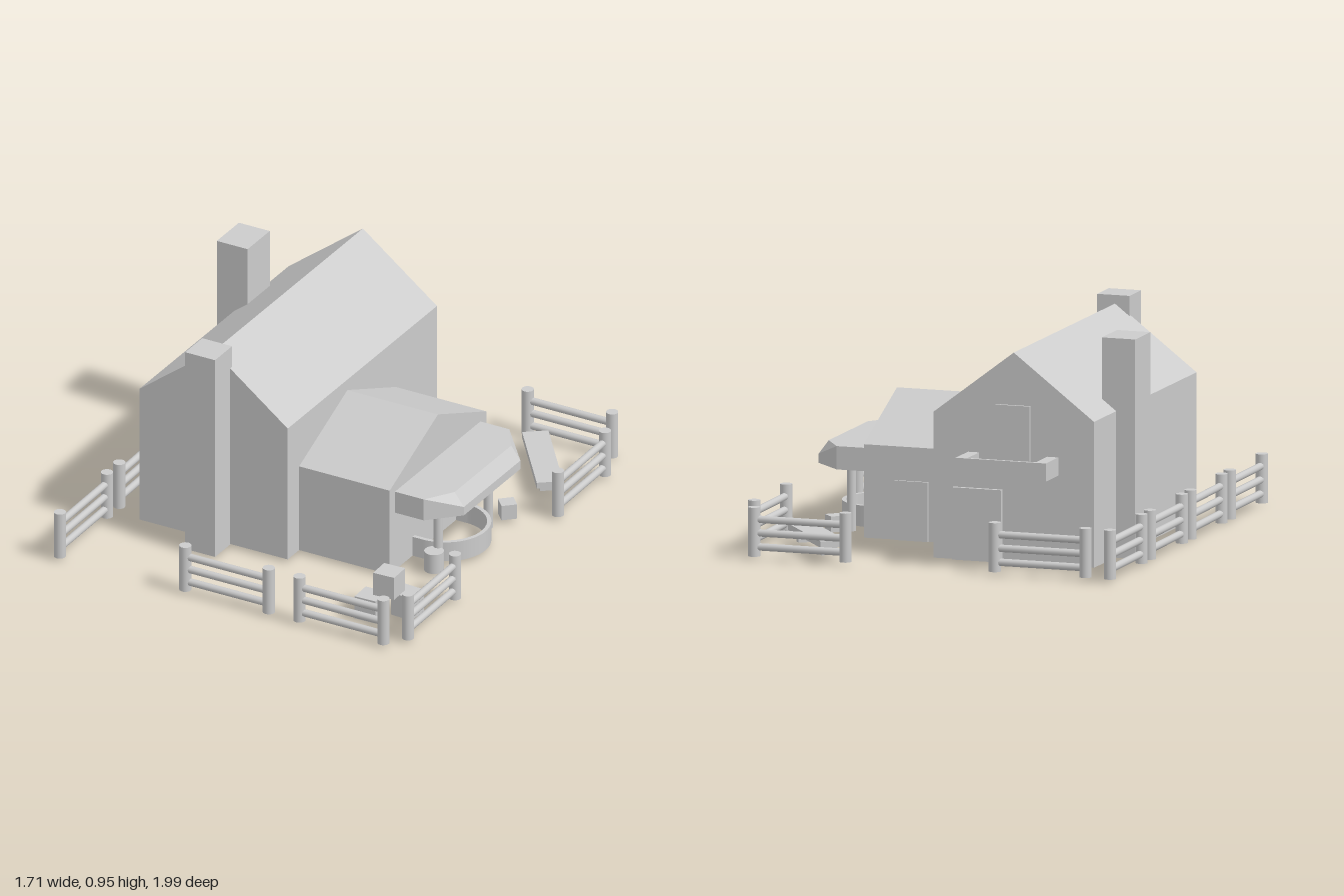
import * as THREE from 'three';
import { ConvexGeometry } from 'three/addons/geometries/ConvexGeometry.js';

const BASE = 0.015;
const flat = new THREE.MeshStandardMaterial({ color: 0xcccccc, flatShading: true });
const smooth = new THREE.MeshStandardMaterial({ color: 0xcccccc });
const twoSided = new THREE.MeshStandardMaterial({ color: 0xcccccc, side: THREE.DoubleSide });

function add(parent, name, geometry, material = flat) {
  const mesh = new THREE.Mesh(geometry, material);
  mesh.name = name;
  parent.add(mesh);
  return mesh;
}

// Box given by its minimum and maximum on each axis
function box(parent, name, x0, x1, y0, y1, z0, z1) {
  const mesh = add(parent, name, new THREE.BoxGeometry(x1 - x0, y1 - y0, z1 - z0));
  mesh.position.set((x0 + x1) / 2, (y0 + y1) / 2, (z0 + z1) / 2);
  return mesh;
}

function cylinder(parent, name, radius, height, x, y, z) {
  const mesh = add(parent, name, new THREE.CylinderGeometry(radius, radius, height, 20), smooth);
  mesh.position.set(x, y + height / 2, z);
  return mesh;
}

// Gabled block running along z, with its gable centred on x = 0
function gabled(parent, name, width, eaves, ridge, length) {
  const w = width / 2;
  const outline = [[-w, BASE], [w, BASE], [w, eaves], [0, ridge], [-w, eaves]];
  const shape = new THREE.Shape(outline.map(([x, y]) => new THREE.Vector2(x, y)));
  return add(parent, name, new THREE.ExtrudeGeometry(shape, { depth: length, bevelEnabled: false }));
}

// Two posts joined by three round rails
function fence(parent, x0, z0, x1, z1) {
  const panel = new THREE.Group();
  panel.name = 'fencePanel';
  parent.add(panel);
  cylinder(panel, 'fencePost', 0.026, 0.21, x0, BASE, z0);
  cylinder(panel, 'fencePost', 0.026, 0.21, x1, BASE, z1);
  const length = Math.hypot(x1 - x0, z1 - z0);
  for (const y of [0.055, 0.115, 0.173]) {
    const rail = add(panel, 'fenceRail', new THREE.CylinderGeometry(0.016, 0.016, length, 12), smooth);
    rail.position.set((x0 + x1) / 2, y, (z0 + z1) / 2);
    rail.quaternion.setFromUnitVectors(
      new THREE.Vector3(0, 1, 0),
      new THREE.Vector3(x1 - x0, 0, z1 - z0).normalize());
  }
}

export function createModel() {
  const model = new THREE.Group();
  model.name = 'farmhouse';

  // Main house and side wing
  gabled(model, 'mainHouse', 0.72, 0.64, 0.915, 1.267).position.set(-0.32, 0, -0.75);
  const wing = gabled(model, 'sideWing', 0.82, 0.415, 0.59, 0.45);
  wing.rotation.y = Math.PI / 2;
  wing.position.set(0.03, 0, 0.01);

  // Chimneys
  box(model, 'frontChimney', -0.385, -0.24, 0.012, 0.952, 0.50, 0.645);
  box(model, 'sideChimney', -0.765, -0.615, 0.012, 0.952, -0.475, -0.287);

  // Doors on the back walls
  box(model, 'groundDoor', -0.27, -0.05, BASE, 0.325, -0.768, -0.74);
  box(model, 'balconyDoor', -0.395, -0.24, 0.42, 0.69, -0.762, -0.74);
  box(model, 'wingDoor', 0.19, 0.34, BASE, 0.27, -0.41, -0.39);

  // Balcony: floor with a parapet on three sides
  const balcony = new THREE.Group();
  balcony.name = 'balcony';
  model.add(balcony);
  box(balcony, 'balconyFloor', -0.52, -0.115, 0.40, 0.42, -0.905, -0.75);
  box(balcony, 'balconyParapet', -0.52, -0.115, 0.42, 0.478, -0.905, -0.89);
  box(balcony, 'balconyParapet', -0.52, -0.47, 0.42, 0.478, -0.89, -0.75);
  box(balcony, 'balconyParapet', -0.165, -0.115, 0.42, 0.478, -0.89, -0.75);

  // Porch canopy with clipped corners and a sloping front
  const corners = [];
  for (const side of [-1, 1]) {
    const rim = [[0.47, 0.29, 0.363], [0.47, 0.39, 0.363], [0.62, 0.29, 0.363], [0.62, 0.39, 0.363],
      [0.745, 0.29, 0.24], [0.745, 0.33, 0.24], [0.70, 0.39, 0.24]];
    for (const [x, y, z] of rim) corners.push(new THREE.Vector3(x, y, 0.013 + side * z));
  }
  add(model, 'porchCanopy', new ConvexGeometry(corners));
  for (const z of [0.245, -0.18]) cylinder(model, 'porchPost', 0.02, 0.3, 0.615, 0, z);

  // Low round wall under the porch
  const wall = [[0.175, BASE], [0.193, BASE], [0.193, BASE], [0.193, 0.105], [0.193, 0.105],
    [0.175, 0.105], [0.175, 0.105], [0.175, BASE]].map(([r, y]) => new THREE.Vector2(r, y));
  add(model, 'porchWall', new THREE.LatheGeometry(wall, 40, 0, Math.PI), twoSided)
    .position.set(0.53, 0, 0.033);
  for (const z of [-0.142, 0.208]) {
    box(model, 'porchWallEnd', 0.47, 0.53, BASE, 0.105, z - (z < 0 ? 0.018 : 0), z + (z < 0 ? 0 : 0.018));
  }

  // Stool and small box beside the porch
  cylinder(model, 'stool', 0.042, 0.09, 0.62, BASE, 0.288);
  box(model, 'smallBox', -0.034, 0.034, BASE, 0.083, -0.034, 0.034).rotation.y = 0.75;
  model.children[model.children.length - 1].position.set(0.65, 0.049, -0.283);

  // Stack of crates
  const crates = [[0.595, BASE, 0.783, 0.03], [0.717, BASE, 0.682, -0.06], [0.656, 0.12, 0.732, 0.04]];
  for (const [x, y, z, turn] of crates) {
    const crate = add(model, 'crate', new THREE.BoxGeometry(0.1, 0.105, 0.1));
    crate.position.set(x, y + 0.0525, z);
    crate.rotation.y = turn;
  }

  // Bench, set diagonally
  const bench = new THREE.Group();
  bench.name = 'bench';
  box(bench, 'benchSeat', -0.23, 0.23, 0.057, 0.085, -0.056, 0.056);
  for (const x of [-0.16, 0.16]) box(bench, 'benchLeg', x - 0.015, x + 0.015, BASE, 0.057, -0.035, 0.035);
  bench.position.set(0.58, 0, -0.703);
  bench.rotation.y = -0.916;
  model.add(bench);

  // Fence panels around the yard: start x, z and end x, z
  const panels = [
    [-0.722, -0.97, -0.315, -0.97], [0.355, -0.97, 0.765, -0.97],
    [-0.833, -0.974, -0.828, -0.57], [-0.828, -0.465, -0.823, -0.058],
    [-0.823, 0.048, -0.814, 0.455], [-0.815, 0.557, -0.81, 0.966],
    [0.822, -0.81, 0.828, -0.40], [0.822, 0.463, 0.828, 0.873],
    [-0.203, 0.962, 0.203, 0.962], [0.352, 0.962, 0.76, 0.962],
  ];
  for (const panel of panels) fence(model, ...panel);

  return model;
}
